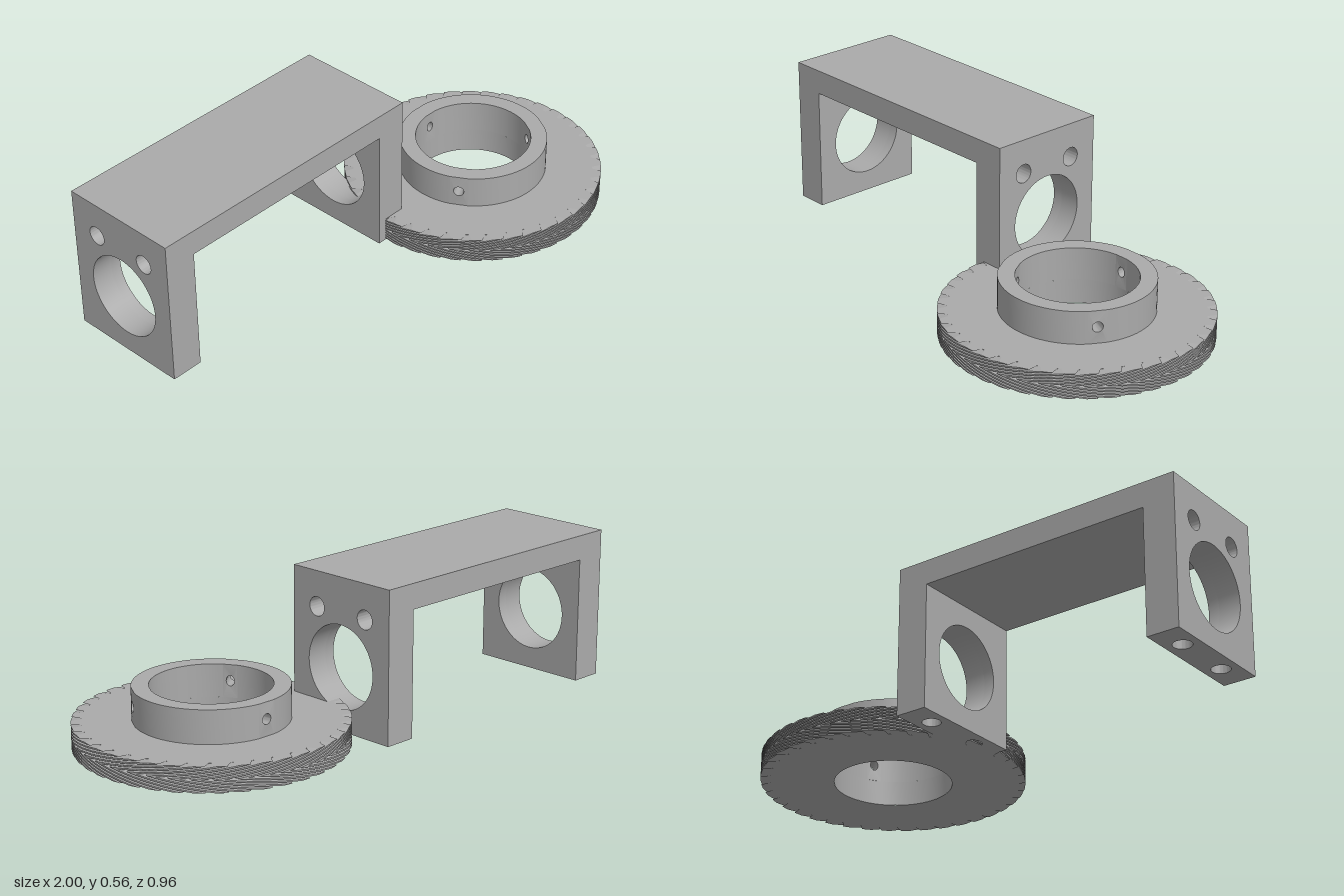
import * as THREE from 'three';
import { toCreasedNormals } from 'three/addons/utils/BufferGeometryUtils.js';

const DEPTH = 0.456;               // bracket size along z
const FOOT = 0.07;                 // height of the drilled foot of each leg
const GEAR = { x: 0.522, r: 0.478, root: 0.445, bore: 0.213, hub: 0.273, h: 0.092, top: 0.213, teeth: 40 };

function rect(x0, y0, x1, y1) {
  return new THREE.Shape([[x0, y0], [x1, y0], [x1, y1], [x0, y1]].map(p => new THREE.Vector2(...p)));
}
function drill(shape, x, y, r) {
  shape.holes.push(new THREE.Path().absarc(x, y, r, 0, Math.PI * 2, true));
}
function extrude(shape, depth, curveSegments = 32) {
  return new THREE.ExtrudeGeometry(shape, { depth, bevelEnabled: false, curveSegments });
}
function smooth(geometry) {
  return toCreasedNormals(geometry, 0.5);
}

export function createModel() {
  const model = new THREE.Group();
  const grey = new THREE.MeshStandardMaterial({ color: 0xaaaaaa });
  grey.name = 'grey';
  const add = (parent, name, geometry) => {
    const mesh = new THREE.Mesh(geometry, grey);
    mesh.name = name;
    parent.add(mesh);
    return mesh;
  };

  // U-shaped bracket
  const bracket = new THREE.Group();
  bracket.name = 'bracket';
  model.add(bracket);
  const plate = add(bracket, 'topPlate', new THREE.BoxGeometry(0.89, 0.092, DEPTH));
  plate.position.set(-0.435, 0.509, -DEPTH / 2);

  // One layer of a leg, optionally with the two blind screw holes
  const legLayer = (name, x0, x1, screws) => {
    const shape = rect(0, FOOT, DEPTH, 0.555);
    drill(shape, DEPTH / 2, 0.232, 0.153);
    if (screws) for (const s of [0.25, 0.75]) drill(shape, DEPTH * s, 0.427, 0.035);
    const geometry = extrude(shape, x1 - x0).rotateY(Math.PI / 2).translate(x0, 0, 0);
    add(bracket, name, smooth(geometry));
  };
  const foot = (name, x0, x1) => {
    const shape = rect(x0, 0, x1, DEPTH);
    for (const s of [0.25, 0.75]) drill(shape, (x0 + x1) / 2, DEPTH * s, 0.033);
    add(bracket, name, smooth(extrude(shape, FOOT).rotateX(-Math.PI / 2)));
  };
  legLayer('leftLegInner', 0.01, 0.05, false);
  legLayer('leftLegOuter', 0.05, 0.13, true);
  foot('leftFoot', 0.01, 0.13);
  legLayer('rightLegInner', -0.92, -0.88, false);
  legLayer('rightLegOuter', -1, -0.92, true);
  foot('rightFoot', -1, -0.88);

  // Herringbone gear
  const gear = new THREE.Group();
  gear.name = 'gear';
  gear.position.x = GEAR.x;
  model.add(gear);

  // Tooth outline: [fraction of pitch, radius]
  const tooth = [[0, GEAR.r], [0.24, GEAR.r], [0.48, GEAR.r], [0.66, GEAR.root], [0.82, GEAR.root]];
  const outline = [];
  for (let i = 0; i < GEAR.teeth; i++) {
    for (const [f, r] of tooth) outline.push([(i + f) / GEAR.teeth * Math.PI * 2, r]);
  }

  // Toothed rim: the outline twists forward to mid height, then back
  const layers = 24, n = outline.length, positions = [], indices = [];
  for (let j = 0; j <= layers; j++) {
    const t = j / layers;
    const twist = 0.65 * (1 - Math.abs(2 * t - 1));
    for (const [a, r] of outline) {
      positions.push(r * Math.cos(a + twist), t * GEAR.h, r * Math.sin(a + twist));
    }
  }
  for (let j = 0; j < layers; j++) {
    for (let i = 0; i < n; i++) {
      const a = j * n + i, b = j * n + (i + 1) % n;
      indices.push(a, a + n, b, b, a + n, b + n);
    }
  }
  const rim = new THREE.BufferGeometry();
  rim.setAttribute('position', new THREE.Float32BufferAttribute(positions, 3));
  rim.setIndex(indices);
  add(gear, 'toothedRim', toCreasedNormals(rim, 0.3));

  // Gear faces with the bore
  for (const side of [1, -1]) {
    const points = outline.map(([a, r]) => new THREE.Vector2(r * Math.cos(a), -side * r * Math.sin(a)));
    const shape = new THREE.Shape(points);
    drill(shape, 0, 0, GEAR.bore);
    const face = new THREE.ShapeGeometry(shape, 48).rotateX(-side * Math.PI / 2);
    add(gear, side > 0 ? 'gearTop' : 'gearBottom', face).position.y = side > 0 ? GEAR.h : 0;
  }
  const lathe = (profile, segments, start, length) => smooth(new THREE.LatheGeometry(
    profile.map(p => new THREE.Vector2(...p)), segments, start, length));
  add(gear, 'bore', lathe([[GEAR.bore, GEAR.h], [GEAR.bore, 0]], 72, 0, Math.PI * 2));

  // Hub collar: three arcs joined by narrow pieces with radial screw holes
  const half = 7 * Math.PI / 180;
  const collar = [[GEAR.hub, GEAR.h], [GEAR.hub, GEAR.top], [GEAR.bore, GEAR.top], [GEAR.bore, GEAR.h]];
  for (let k = 0; k < 3; k++) {
    const phi = Math.PI / 3 + k * Math.PI * 2 / 3;
    add(gear, 'hubArc', lathe(collar, 24, phi + half, Math.PI * 2 / 3 - 2 * half));

    const w = GEAR.hub * half;
    const shape = rect(-w, GEAR.h, w, GEAR.top);
    drill(shape, 0, 0.153, 0.019);
    const piece = extrude(shape, GEAR.hub - GEAR.bore, 12);
    const p = piece.attributes.position;
    for (let i = 0; i < p.count; i++) {
      const a = phi + p.getX(i) / GEAR.hub, r = GEAR.bore + p.getZ(i);
      p.setXYZ(i, r * Math.sin(a), p.getY(i), r * Math.cos(a));
    }
    add(gear, 'hubScrewHole', smooth(piece));
  }
  return model;
}
